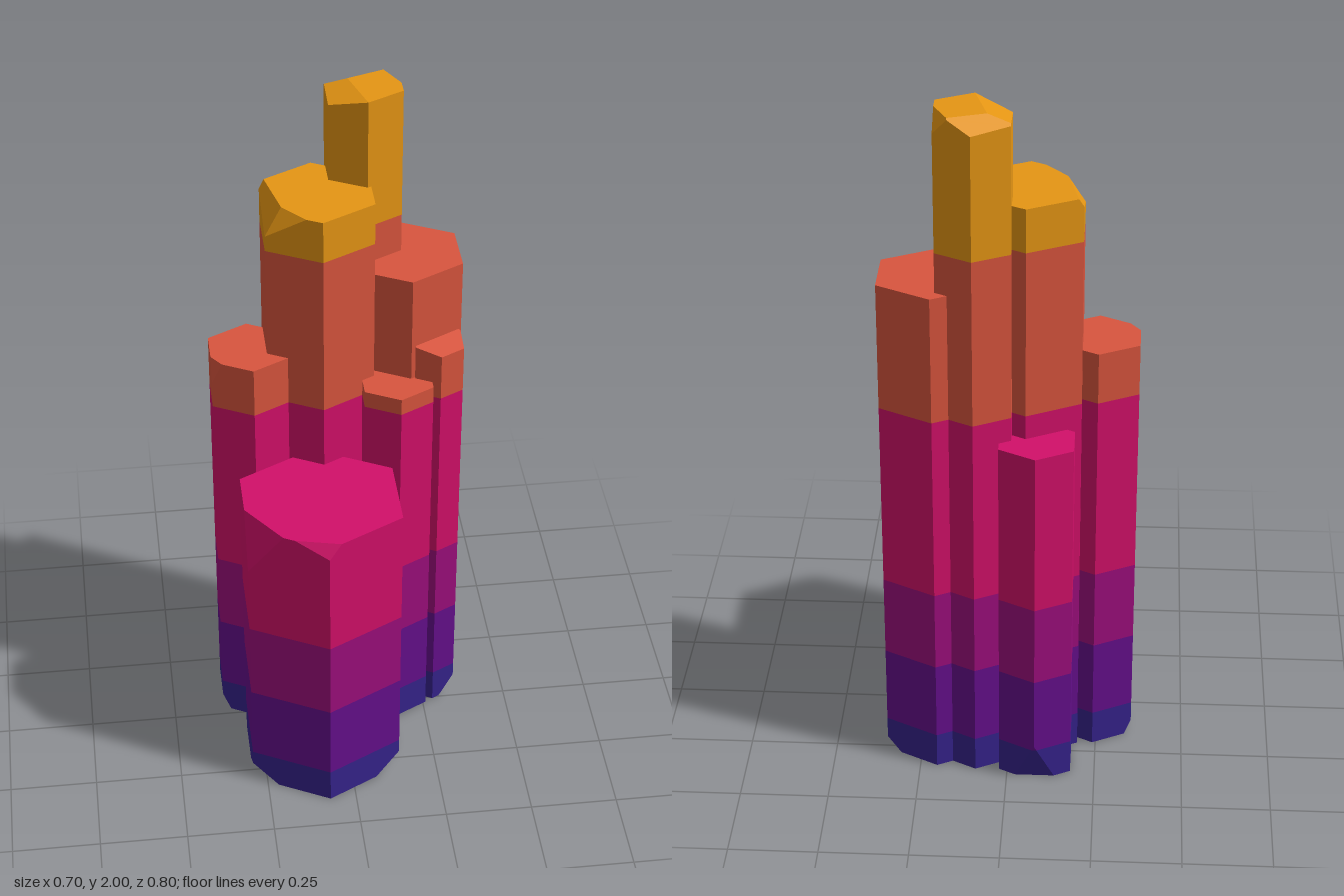
import * as THREE from 'three';

// Colour bands from the ground up: name, upper limit, colour
const BANDS = [
  ['indigo', 0.105, 0x36238c],
  ['purple', 0.34, 0x650f8c],
  ['plum', 0.58, 0x9c0e7c],
  ['crimson', 1.13, 0xd21069],
  ['coral', 1.615, 0xd9553e],
  ['gold', 2.1, 0xe69614],
];

// Keep the part of each polygon behind the plane, optionally closing the cut
function clip(faces, plane, cap) {
  const kept = [], rim = [];
  for (const face of faces) {
    const out = [];
    face.forEach((a, i) => {
      const b = face[(i + 1) % face.length];
      const da = plane.distanceToPoint(a), db = plane.distanceToPoint(b);
      if (da <= 1e-6) out.push(a);
      if ((da < -1e-6 && db > 1e-6) || (da > 1e-6 && db < -1e-6)) {
        out.push(a.clone().lerp(b, da / (da - db)));
      }
    });
    if (out.length < 3) continue;
    kept.push(out);
    for (const p of out) {
      if (Math.abs(plane.distanceToPoint(p)) < 1e-5 && !rim.some((q) => q.distanceTo(p) < 1e-5)) rim.push(p);
    }
  }
  if (cap && rim.length > 2) {
    const mid = rim.reduce((s, p) => s.add(p), new THREE.Vector3()).divideScalar(rim.length);
    const u = rim[0].clone().sub(mid), w = plane.normal.clone().cross(u);
    const angle = (p) => {
      const d = p.clone().sub(mid);
      return Math.atan2(d.dot(w), d.dot(u));
    };
    kept.push(rim.sort((a, b) => angle(a) - angle(b)));
  }
  return kept;
}

// Closed hexagonal prism. Corners run from the front towards +x and round the back.
// Each chip is a corner, how far it reaches along the edges to the previous and next
// corners (in edge lengths), and its depth: positive at the top, negative at the bottom.
function columnFaces(x, z, r, h, chips) {
  const ring = (y) => Array.from({ length: 6 }, (_, i) => {
    const t = (i * Math.PI) / 3;
    return new THREE.Vector3(x + Math.sin(t) * r * 1.109, y, z + Math.cos(t) * r);
  });
  const low = ring(0), top = ring(h);
  let faces = [top, [...low].reverse()];
  for (let i = 0; i < 6; i++) {
    const j = (i + 1) % 6;
    faces.push([low[i], low[j], top[j], top[i]]);
  }
  for (const [corner, previous, next, depth] of chips) {
    const loop = depth > 0 ? top : low;
    const start = loop[corner];
    const a = start.clone().lerp(loop[(corner + 5) % 6], previous);
    const b = start.clone().lerp(loop[(corner + 1) % 6], next);
    const c = start.clone();
    c.y -= depth;
    const plane = new THREE.Plane().setFromCoplanarPoints(a, b, c);
    if (plane.distanceToPoint(start) < 0) plane.negate();
    faces = clip(faces, plane, true);
  }
  return faces;
}

function toGeometry(faces) {
  const points = [];
  for (const f of faces) {
    for (let i = 1; i < f.length - 1; i++) points.push(f[0], f[i], f[i + 1]);
  }
  const geometry = new THREE.BufferGeometry().setFromPoints(points);
  geometry.computeVertexNormals();
  return geometry;
}

export function createModel() {
  const model = new THREE.Group();
  model.name = 'stoneColumns';
  const materials = BANDS.map(([name, , color]) => {
    const material = new THREE.MeshStandardMaterial({ color });
    material.name = name;
    return material;
  });

  // One column, sliced into its colour bands
  function addColumn(name, x, z, r, h, ...chips) {
    const group = new THREE.Group();
    group.name = name;
    const faces = columnFaces(x, z, r, h, chips);
    BANDS.forEach(([bandName, high], i) => {
      const floor = i ? BANDS[i - 1][1] : -0.1;
      if (floor >= h) return;
      const below = clip(faces, new THREE.Plane(new THREE.Vector3(0, 1, 0), -high), false);
      const band = clip(below, new THREE.Plane(new THREE.Vector3(0, -1, 0), floor), false);
      const mesh = new THREE.Mesh(toGeometry(band), materials[i]);
      mesh.name = bandName + 'Band';
      group.add(mesh);
    });
    model.add(group);
  }

  addColumn('frontColumn', -0.075, 0.173, 0.224, 0.94,
    [5, 0.38, 0.44, 0.15], [0, 0.42, 0.16, 0.04],
    [1, 0.33, 0.38, -0.06], [5, 0.38, 0.33, -0.06]);
  addColumn('backColumn', -0.079, -0.294, 0.106, 1.06, [3, 0.55, 0.55, -0.12]);
  addColumn('rightColumn', -0.241, -0.09, 0.116, 1.28,
    [5, 0.21, 0.25, 0.07], [5, 8, 0.2, -0.05]);
  addColumn('centreColumn', -0.048, -0.132, 0.155, 1.74,
    [5, 1.45, 0.38, 0.08], [5, 0.45, 0.72, 0.08]);
  addColumn('tallColumn', 0.091, -0.245, 0.105, 2,
    [5, 2.85, 1, 0.03], [3, 0.68, 3.5, 0.035], [2, 0.59, 0.42, 0.05]);
  addColumn('leftColumn', 0.202, -0.183, 0.155, 1.5, [1, 1.15, 1.67, -0.1]);
  addColumn('smallColumn', 0.162, -0.03, 0.1, 1.18);
  addColumn('sliverColumn', 0.281, -0.063, 0.07, 1.29,
    [0, 1.4, 50, 0.02], [2, 2.5, 2.1, -0.1]);
  return model;
}
